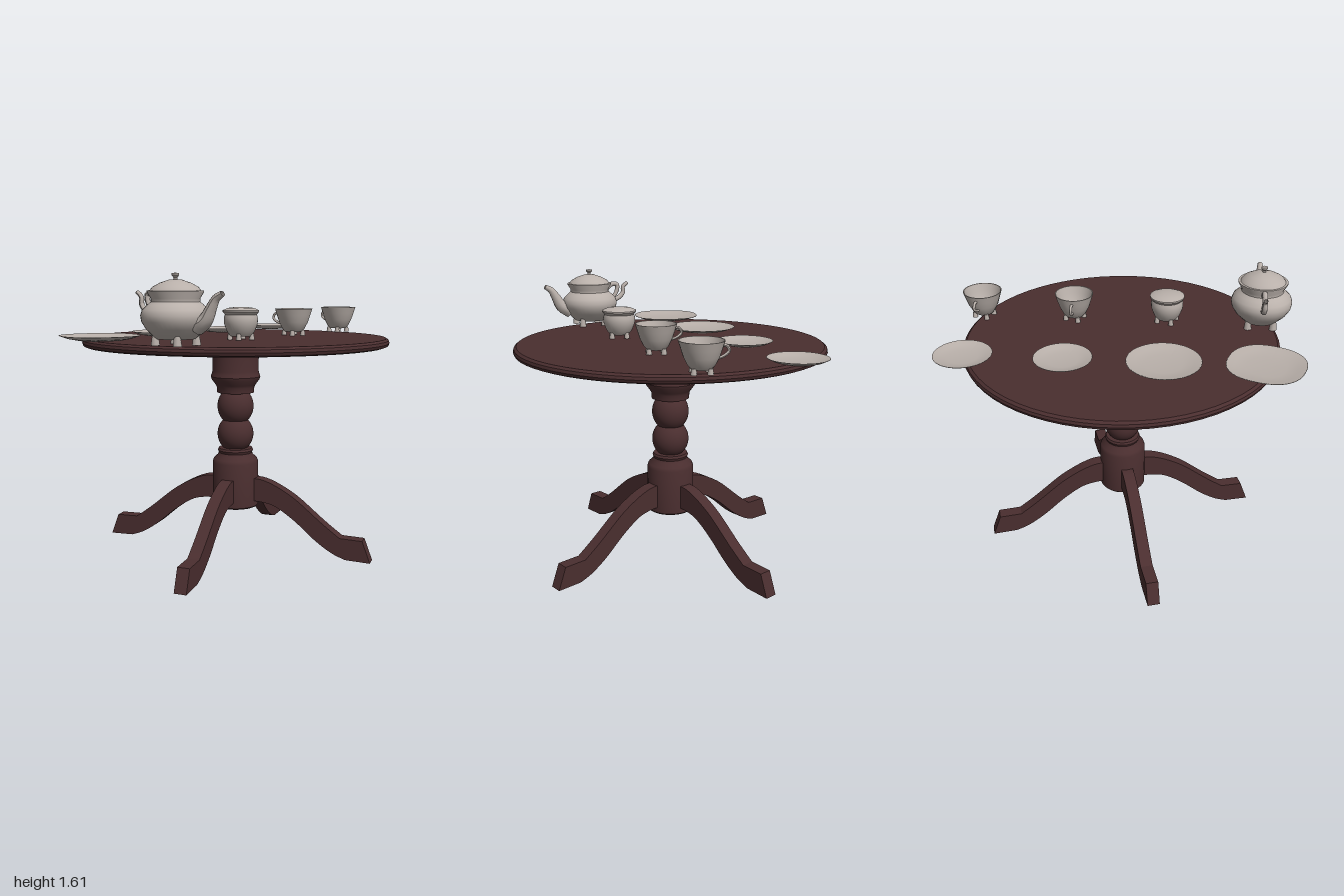
import * as THREE from 'three';
import { toCreasedNormals } from 'three/addons/utils/BufferGeometryUtils.js';

const wood = new THREE.MeshStandardMaterial({ color: 0x4a2e2f });
wood.name = 'dark wood';
const china = new THREE.MeshStandardMaterial({ color: 0xb9b0aa, side: THREE.DoubleSide });
china.name = 'grey china';

function part(parent, name, geometry, material) {
  const mesh = new THREE.Mesh(geometry, material);
  mesh.name = name;
  parent.add(mesh);
  return mesh;
}

function group(parent, name, x, y, z) {
  const g = new THREE.Group();
  g.name = name;
  g.position.set(x, y, z);
  parent.add(g);
  return g;
}

// Turned shape from [radius, height] pairs, bottom to top
function turned(profile, segments = 32) {
  const points = profile.map(([r, y]) => new THREE.Vector2(r, y));
  return toCreasedNormals(new THREE.LatheGeometry(points, segments), 0.6);
}

// Tapered tube through [distance, height] pairs
function taperedTube(pairs, r0, r1) {
  const curve = new THREE.CatmullRomCurve3(pairs.map(([d, y]) => new THREE.Vector3(d, y, 0)));
  const rows = 14, sides = 10;
  const geo = new THREE.TubeGeometry(curve, rows, 1, sides);
  const pos = geo.attributes.position;
  const v = new THREE.Vector3();
  for (let i = 0; i < pos.count; i++) {
    const t = Math.floor(i / (sides + 1)) / rows;
    const centre = curve.getPointAt(t);
    v.fromBufferAttribute(pos, i).sub(centre).multiplyScalar(r0 + (r1 - r0) * t).add(centre);
    pos.setXYZ(i, v.x, v.y, v.z);
  }
  geo.computeVertexNormals();
  return geo;
}

// Arc of a turned ball, for the pedestal beads
function bead(y, r, neck) {
  const out = [];
  const a = Math.acos(neck / r);
  for (let i = 0; i <= 12; i++) {
    const t = -a + (2 * a * i) / 12;
    out.push([r * Math.cos(t), y + 0.082 * Math.sin(t) / Math.sin(a)]);
  }
  return out;
}

// Little splayed feet under the china
function addFeet(parent, radius, height, size) {
  for (let i = 0; i < 4; i++) {
    const a = Math.PI / 4 + (i * Math.PI) / 2;
    const foot = part(parent, 'foot', new THREE.CylinderGeometry(size * 0.7, size, height, 8), china);
    foot.position.set(Math.cos(a) * radius, height / 2, Math.sin(a) * radius);
  }
}

function buildTable(root) {
  const table = group(root, 'table', 0.04, 0, 0);
  part(table, 'tableTop', turned([
    [0, 1.214], [0.852, 1.214], [0.87, 1.221], [0.876, 1.236], [0.872, 1.251], [0.858, 1.262], [0, 1.262],
  ], 64), wood);
  part(table, 'mountingPlate', turned([[0, 1.187], [0.268, 1.187], [0.27, 1.216], [0, 1.216]], 48), wood);
  for (let i = 0; i < 4; i++) {
    const a = 0.636 + (i * Math.PI) / 2;
    const screw = part(table, 'screw', new THREE.CylinderGeometry(0.014, 0.014, 0.014, 10), wood);
    screw.position.set(Math.cos(a) * 0.21, 1.182, -Math.sin(a) * 0.21);
  }
  part(table, 'pedestal', turned([
    [0, 0.26], [0.128, 0.26], [0.135, 0.268], [0.135, 0.525], [0.128, 0.545], [0.105, 0.565],
    [0.098, 0.58], [0.104, 0.595], [0.098, 0.608],
    ...bead(0.692, 0.106, 0.072), ...bead(0.856, 0.106, 0.075),
    [0.108, 0.938], [0.11, 0.97], [0.118, 0.985], [0.14, 1.015], [0.145, 1.032], [0.138, 1.05],
    [0.135, 1.065], [0.135, 1.188], [0, 1.188],
  ], 40), wood);

  // Swept legs with flat feet
  const vec = (pairs) => pairs.map(([r, y]) => new THREE.Vector2(r, y));
  const shape = new THREE.Shape();
  shape.moveTo(0.1, 0.435);
  shape.splineThru(vec([[0.17, 0.432], [0.24, 0.41], [0.32, 0.37], [0.4, 0.318], [0.54, 0.205], [0.645, 0.128]]));
  shape.lineTo(0.775, 0.125);
  shape.lineTo(0.822, 0);
  shape.lineTo(0.68, 0.004);
  shape.splineThru(vec([[0.6, 0.035], [0.5, 0.1], [0.38, 0.2], [0.27, 0.272], [0.19, 0.295], [0.1, 0.3]]));
  shape.closePath();
  const width = 0.07;
  const legGeo = toCreasedNormals(
    new THREE.ExtrudeGeometry(shape, { depth: width, bevelEnabled: false, curveSegments: 16 })
      .translate(0, 0, -width / 2), 0.5);
  for (let i = 0; i < 4; i++) {
    part(table, 'leg', legGeo, wood).rotation.y = 0.636 + (i * Math.PI) / 2;
  }
}

// Shallow dish; power above 2 makes the outline squarer
function addPlate(root, x, z, r, power) {
  const geo = new THREE.LatheGeometry([
    [0, 0.004], [0.55, 0.004], [0.8, 0.014], [1, 0.029], [0.985, 0.031], [0.78, 0.019], [0.5, 0.011], [0, 0.011],
  ].map(([d, y]) => new THREE.Vector2(d * r, y)), 48);
  const pos = geo.attributes.position;
  for (let i = 0; i < pos.count; i++) {
    const a = Math.atan2(pos.getZ(i), pos.getX(i));
    const k = (Math.abs(Math.cos(a)) ** power + Math.abs(Math.sin(a)) ** power) ** (-1 / power);
    pos.setX(i, pos.getX(i) * k);
    pos.setZ(i, pos.getZ(i) * k);
  }
  geo.computeVertexNormals();
  part(group(root, 'plate', x, 1.264, z), 'dish', geo, china);
}

function addCup(root, x, z, handleAngle, reach) {
  const cup = group(root, 'cup', x, 1.264, z);
  part(cup, 'bowl', turned([
    [0, 0.022], [0.05, 0.022], [0.066, 0.04], [0.085, 0.078], [0.098, 0.118], [0.11, 0.156],
    [0.105, 0.156], [0.092, 0.116], [0.079, 0.08], [0.058, 0.045], [0, 0.034],
  ]), china);
  addFeet(cup, 0.055, 0.03, 0.016);
  const handle = taperedTube([[0.085, 0.125], [reach - 0.015, 0.125], [reach, 0.1], [reach - 0.03, 0.075], [0.07, 0.065]], 0.008, 0.007);
  part(cup, 'handle', handle, china).rotation.y = handleAngle;
}

function addSugarBowl(root) {
  const bowl = group(root, 'sugarBowl', -0.115, 1.264, 0.285);
  part(bowl, 'body', turned([
    [0, 0.02], [0.055, 0.02], [0.075, 0.045], [0.09, 0.085], [0.092, 0.115], [0.086, 0.135], [0.098, 0.15],
    [0.098, 0.158], [0.07, 0.17], [0.03, 0.175], [0, 0.176],
  ]), china);
  addFeet(bowl, 0.06, 0.035, 0.016);
}

function addTeapot(root) {
  const pot = group(root, 'teapot', -0.615, 1.264, 0.465);
  // Local +x is the spout direction
  pot.rotation.y = -Math.atan2(0.27, 0.095);
  part(pot, 'body', turned([
    [0, 0.032], [0.095, 0.032], [0.115, 0.05], [0.145, 0.08], [0.166, 0.115], [0.171, 0.145], [0.162, 0.172],
    [0.14, 0.193], [0.119, 0.21], [0.119, 0.225], [0.138, 0.256], [0.138, 0.262], [0, 0.262],
  ], 40), china);
  part(pot, 'lid', turned([[0, 0.258], [0.128, 0.258], [0.112, 0.28], [0.075, 0.3], [0.03, 0.315], [0, 0.317]], 40), china);
  part(pot, 'knob', turned([[0.01, 0.31], [0.01, 0.325], [0.018, 0.335], [0.018, 0.345], [0, 0.348]], 12), china);
  part(pot, 'spout', taperedTube([[0.13, 0.095], [0.185, 0.125], [0.222, 0.185], [0.25, 0.228], [0.288, 0.25]], 0.046, 0.014), china);
  // Curled handle
  part(pot, 'handle', taperedTube([[-0.14, 0.15], [-0.19, 0.16], [-0.225, 0.195], [-0.225, 0.23], [-0.255, 0.256]], 0.017, 0.011), china);
  part(pot, 'handleScroll', taperedTube([[-0.115, 0.225], [-0.15, 0.25], [-0.185, 0.245], [-0.18, 0.2], [-0.16, 0.17]], 0.016, 0.012), china);
  addFeet(pot, 0.1, 0.05, 0.022);
}

export function createModel() {
  const model = new THREE.Group();
  model.name = 'teaTable';
  buildTable(model);
  addPlate(model, -0.795, -0.032, 0.205, 2.4);
  addPlate(model, -0.297, -0.215, 0.2, 2);
  addPlate(model, 0.202, -0.395, 0.157, 2);
  addPlate(model, 0.702, -0.577, 0.157, 2);
  addCup(model, 0.385, 0.1, 1.9, 0.145);
  addCup(model, 0.885, -0.08, 1.75, 0.135);
  addSugarBowl(model);
  addTeapot(model);
  return model;
}
